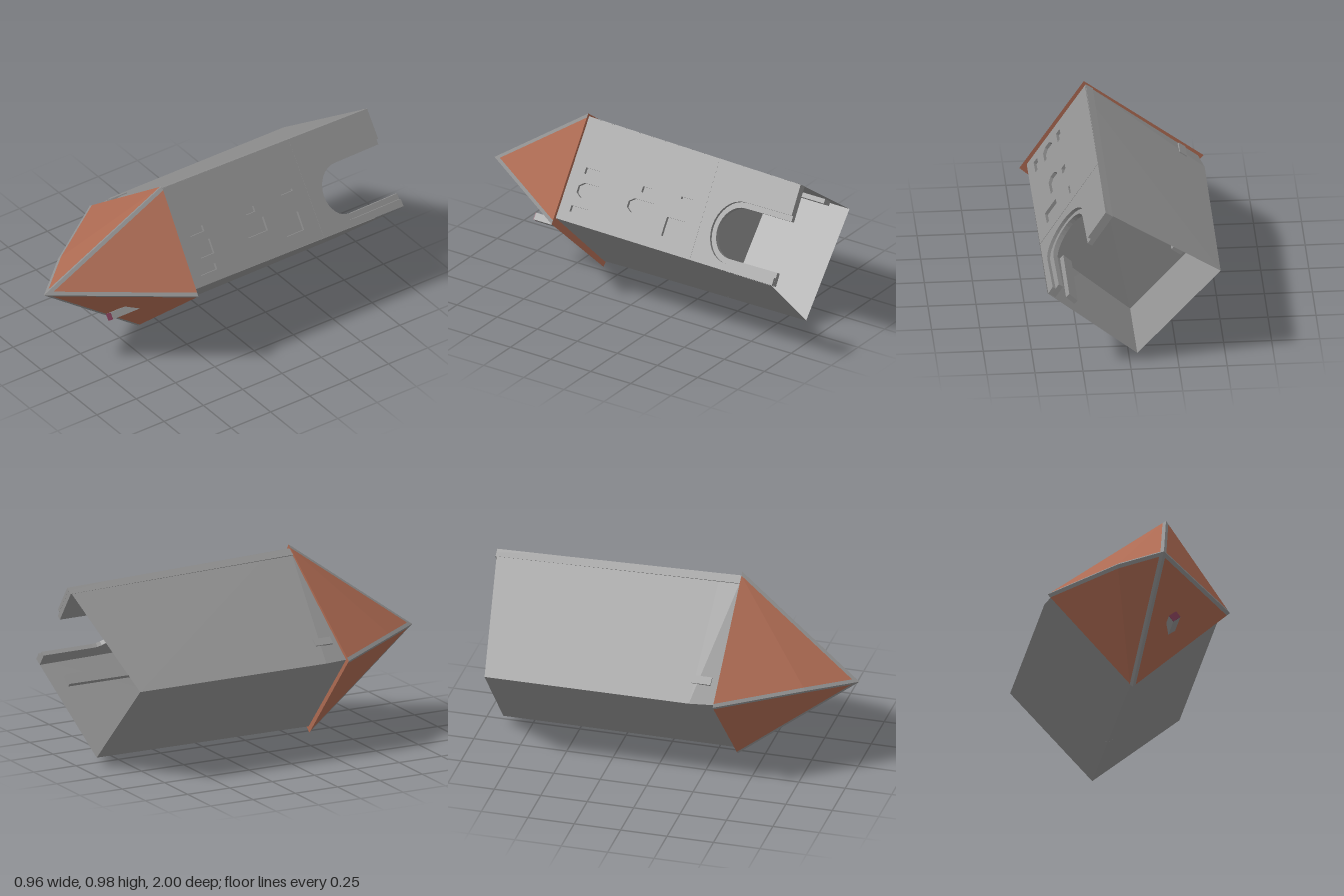
import * as THREE from 'three';

const V = (x, y, z) => new THREE.Vector3(x, y, z);
const mat = (name, color, side = THREE.DoubleSide) => {
  const m = new THREE.MeshStandardMaterial({ color, side });
  m.name = name;
  return m;
};

export function createModel() {
  const group = new THREE.Group();
  const stone = mat('stone grey', 0x909090);
  const tile = mat('roof tile', 0xad6a52);
  const flue = mat('flue purple', 0x7a3a52);

  const add = (name, geo, material, parent = group) => {
    const m = new THREE.Mesh(geo, material);
    m.name = name;
    parent.add(m);
    return m;
  };
  // Flat polygons, each a loop of points drawn as a fan
  const polys = (loops) => {
    const pts = [];
    for (const l of loops) for (let i = 1; i < l.length - 1; i++) pts.push(l[0], l[i], l[i + 1]);
    const g = new THREE.BufferGeometry().setFromPoints(pts);
    g.computeVertexNormals();
    return g;
  };

  // Tower walls: cross-sections from eave to foot, corners T, L, B, R
  const sections = [
    [V(0.14, 0.955, 0.34), V(-0.45, 0.5, 0.35), V(-0.035, 0.035, 0.355), V(0.44, 0.49, 0.34)],
    [V(0.139, 0.952, 0.22), V(-0.475, 0.503, 0.22), V(-0.036, 0.037, 0.22), V(0.44, 0.488, 0.22)],
    [V(0.13, 0.925, -0.98), V(-0.475, 0.5, -0.88), V(-0.04, 0.04, -0.9), V(0.435, 0.47, -1.0)],
  ];
  ['upperWall', 'lowerLeftWall', 'bottomWall'].forEach((name, c) => {
    const loops = [];
    for (let i = 0; i < 2; i++) {
      const [a, b] = [sections[i], sections[i + 1]];
      loops.push([a[c], a[c + 1], b[c + 1], b[c]]);
    }
    add(name, polys(loops), stone);
  });
  // Inner floor closing the room behind the door
  add('innerFloor', polys([sections[0].map((p, i) => p.clone().lerp(sections[2][i], 0.62))]), stone);

  // Door wall: drawn in its own plane, from height y and depth z
  const wall = new THREE.Group();
  wall.name = 'doorWall';
  wall.matrixAutoUpdate = false;
  wall.matrix.makeBasis(V(-0.55, 0.835, 0), V(0.0126, 0.0083, 1), V(0.835, 0.55, 0)).setPosition(0.4387, 0.485, 0);
  wall.matrix.decompose(wall.position, wall.quaternion, wall.scale);
  wall.matrix.makeBasis(V(-0.55, 0.835, 0), V(0.0126, 0.0083, 1), V(0.835, 0.55, 0)).setPosition(0.4387, 0.485, 0);
  group.add(wall);
  const P = (z, y) => new THREE.Vector2((y - 0.485 - 0.0083 * z) / 0.835, z);
  const wallShape = (inset) => {
    const pts = [P(0.34, 0.49), P(0.34, 0.955), P(-0.98, 0.925)];
    for (let i = 0; i <= 16; i++) {
      const a = Math.PI * i / 16;
      const y = 0.645 + (0.14 - inset) * Math.cos(a);
      if (i === 0) pts.push(P(-0.985, y));
      pts.push(P(-0.7 + (0.145 - inset) * Math.sin(a), y));
      if (i === 16) pts.push(P(-0.998, y));
    }
    pts.push(P(-1.0, 0.47));
    return new THREE.Shape(pts);
  };
  const layer = (name, shape, z, depth) => {
    const g = new THREE.ExtrudeGeometry(shape, { depth, bevelEnabled: false });
    g.translate(0, 0, z);
    add(name, g, stone, wall);
  };
  // Windows: z range, y range, pointed towards the roof or not
  const windows = [
    [0.17, 0.26, 0.71, 0.738, false],
    [0.155, 0.27, 0.605, 0.672, true],
    [0.17, 0.275, 0.535, 0.563, false],
    [-0.155, -0.095, 0.702, 0.728, false],
    [-0.19, -0.04, 0.605, 0.668, true],
    [-0.405, -0.33, 0.722, 0.732, false],
    [-0.395, -0.285, 0.545, 0.63, false],
  ];
  const outer = wallShape(0);
  for (const [z0, z1, y0, y1, pointed] of windows) {
    const k = (y1 - y0) * 0.28;
    const top = pointed
      ? [P(z1 - 0.03, y1), P(z1, y1 - k), P(z1, y0 + k), P(z1 - 0.03, y0)]
      : [P(z1, y1), P(z1, y0)];
    outer.holes.push(new THREE.Path([P(z0, y0), P(z0, y1), ...top]));
  }
  layer('doorWallFacing', outer, -0.018, 0.018);
  layer('doorWallLining', wallShape(0.025), -0.045, 0.027);

  // Ledges along the inside of the room
  const ledge = (name, x, y, turn) => {
    const m = add(name, new THREE.BoxGeometry(0.06, 0.025, 0.42), stone);
    m.position.set(x, y, -0.68);
    m.rotation.z = turn;
  };
  ledge('upperLedge', -0.25, 0.635, 0.62);
  ledge('lowerLedge', 0.3, 0.37, 0.76);

  // Small window plate on the upper wall
  const plate = add('sideWindow', new THREE.BoxGeometry(0.045, 0.009, 0.1), stone);
  plate.position.set(-0.362, 0.587, 0.26);
  plate.rotation.z = 0.63;

  // Roof: four tiled faces, each edged by grey strips along its ridges
  const A = V(0.025, 0.485, 1.0), M = V(-0.18, 0.503, 0.765);
  const T = V(0.145, 0.975, 0.335), R = V(0.48, 0.47, 0.34);
  const B = V(-0.035, 0, 0.36), L = V(-0.48, 0.5, 0.35);
  const w = 0.02;
  const dir = (a, b) => b.clone().sub(a).normalize();
  // Point inset by w from both edges leaving p
  const inset = (p, d, e) => d.clone().add(e).multiplyScalar(w / Math.sin(d.angleTo(e))).add(p);
  const slide = (p, ridge, eave) =>
    p.clone().addScaledVector(eave, w / Math.sin(ridge.angleTo(eave)));
  const tiles = [], strips = [];
  for (const [p, q, bend] of [[R, T], [B, R], [T, L, M], [B, L, M]]) {
    const m = bend || A;
    const outerEdge = bend ? [p, A, M, q] : [p, A, q];
    const innerEdge = [
      slide(p, dir(p, A), dir(p, q)),
      inset(A, dir(A, p), dir(A, bend || q)),
      ...(bend ? [slide(M, dir(M, q), dir(M, p))] : []),
      slide(q, dir(q, m), dir(q, p)),
    ];
    tiles.push(innerEdge);
    for (let i = 0; i < outerEdge.length - 1; i++)
      strips.push([outerEdge[i], outerEdge[i + 1], innerEdge[i + 1], innerEdge[i]]);
  }
  tiles.push([T, L, B, R]);
  add('roofTiles', polys(tiles), tile);
  add('roofRidges', polys(strips), stone);

  // Chimney standing on the lower roof face
  const chimney = new THREE.Group();
  chimney.name = 'chimney';
  chimney.position.set(0.137, 0.277, 0.57);
  chimney.rotation.z = 0.66;
  add('chimneyStack', new THREE.BoxGeometry(0.047, 0.038, 0.18), stone, chimney);
  add('chimneyTop', new THREE.BoxGeometry(0.047, 0.038, 0.004), flue, chimney).position.z = 0.092;
  group.add(chimney);

  return group;
}
